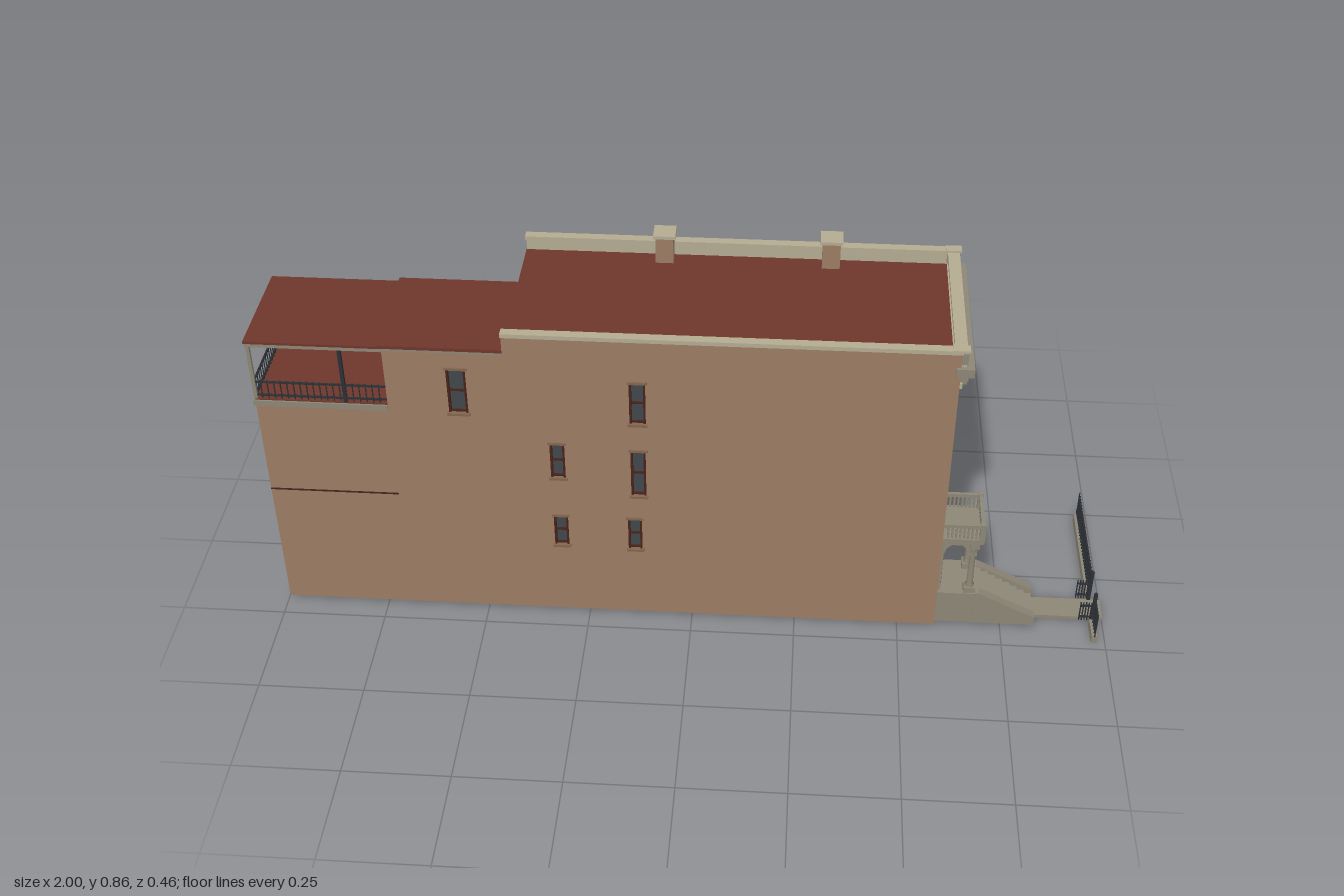
import * as THREE from 'three';

const mat = (name, color) => Object.assign(new THREE.MeshStandardMaterial({ color, side: THREE.DoubleSide }), { name });

export function createModel() {
  const brick = mat('brick', 0x9b7d64), stone = mat('pale stone', 0xb3aa90), grey = mat('grey stone', 0x8d8676),
    red = mat('roof red', 0x6e362b), glass = mat('dark glass', 0x40464c), iron = mat('black iron', 0x2b3036),
    sash = mat('sash brown', 0x48221a), ledge = mat('brown stone', 0x82654e), pale = mat('pale mullion', 0x8f9498);
  const root = new THREE.Group();
  root.name = 'townhouse';
  const group = (name, parent = root) => { const g = new THREE.Group(); g.name = name; parent.add(g); return g; };
  const add = (p, name, geo, m) => { const o = new THREE.Mesh(geo, m); o.name = name; p.add(o); return o; };
  // box given by its two limits on every axis
  const box = (p, name, m, x0, x1, y0, y1, z0, z1) => {
    const o = add(p, name, new THREE.BoxGeometry(x1 - x0, y1 - y0, z1 - z0), m);
    o.position.set((x0 + x1) / 2, (y0 + y1) / 2, (z0 + z1) / 2);
    return o;
  };
  const poly = pts => new THREE.Shape(pts.map(p => new THREE.Vector2(...p)));
  const rect = (a, b, c, d) => poly([[a, c], [b, c], [b, d], [a, d]]);
  // opening outline: rectangle, arch-headed or oval
  const outline = w => {
    const [a, b, c, d] = w.r, mid = (a + b) / 2, rad = (b - a) / 2;
    if (w.oval) return new THREE.Shape().absellipse(mid, (c + d) / 2, rad, (d - c) / 2, 0, Math.PI * 2);
    if (!w.arch) return rect(a, b, c, d);
    return new THREE.Shape().moveTo(a, c).lineTo(b, c).lineTo(b, d - rad).absarc(mid, d - rad, rad, 0, Math.PI);
  };
  // window filling: glass, sash bars, sill and lintel, in the wall's own (along, up, outward) frame
  const windowUnit = (p, w) => {
    const g = group(w.name || 'window', p), [a, b, c, d] = w.r, t = Math.min(0.005, (b - a) * 0.2), mid = (c + d) / 2;
    const pane = add(g, 'glass', new THREE.ShapeGeometry(outline(w), 16), w.fill || glass);
    pane.position.z = w.oval ? 0.002 : -0.008;
    if (w.oval) return;
    if (w.arch && w.fill) return;
    box(g, 'jamb', sash, a, a + t, c, d, -0.01, 0.001);
    box(g, 'jamb', sash, b - t, b, c, d, -0.01, 0.001);
    box(g, 'meetingRail', sash, a, b, mid - 0.002, mid + 0.002, -0.01, -0.003);
    box(g, 'bottomRail', sash, a, b, c, c + 0.004, -0.01, -0.003);
    if (w.mullion) box(g, 'mullion', pale, (a + b) / 2 - 0.001, (a + b) / 2 + 0.001, c, d, -0.008, -0.004);
    const trim = w.trim || ledge;
    box(g, 'sill', trim, a - 0.004, b + 0.004, c - 0.006, c, -0.005, 0.007);
    if (!w.arch) box(g, 'lintel', trim, a - 0.004, b + 0.004, d, d + 0.006, -0.005, 0.004);
  };
  // wall plane with real openings, turned to face its side
  const wall = (name, m, pos, turn, limits, wins = []) => {
    const g = group(name), s = rect(...limits);
    g.position.set(...pos);
    g.rotation.y = turn;
    wins.forEach(w => { if (!w.oval) s.holes.push(outline(w)); windowUnit(g, w); });
    add(g, name + 'Face', new THREE.ShapeGeometry(s, 16), m);
    return g;
  };
  const Q = Math.PI / 2, base = 0.012;

  // left side wall, in three lengths
  wall('leftMainWall', brick, [0, 0, 0.2], 0, [-0.42, 0.59, base, 0.812], [
    { r: [-0.14, -0.103, 0.59, 0.7] }, { r: [-0.14, -0.105, 0.38, 0.508] }, { r: [-0.15, -0.117, 0.216, 0.305] },
    { r: [-0.326, -0.292, 0.425, 0.52] }, { r: [-0.326, -0.292, 0.22, 0.305] }]);
  wall('leftMiddleWall', brick, [0, 0, 0.2], 0, [-0.69, -0.42, base, 0.77], [{ r: [-0.55, -0.506, 0.602, 0.72] }]);
  wall('leftRearWall', brick, [0, 0, 0.2], 0, [-0.995, -0.69, base, 0.6]);
  box(root, 'bandLine', sash, -0.995, -0.69, 0.352, 0.356, 0.199, 0.2015);
  // right side walls
  wall('rightMainWall', brick, [0, 0, -0.227], Math.PI, [-0.59, 0.42, base, 0.812]);
  wall('rightMiddleWall', brick, [0, 0, -0.07], Math.PI, [0.42, 0.69, base, 0.77]);
  wall('rightRearWall', brick, [0, 0, -0.06], Math.PI, [0.69, 0.995, base, 0.6]);
  // back walls
  wall('backStepWall', brick, [-0.42, 0, 0], -Q, [-0.227, -0.07, base, 0.785],
    [[0.585, 0.715], [0.37, 0.5], [0.16, 0.3]].map(([c, d]) => ({ r: [-0.15, -0.1, c, d] })));
  wall('deckWall', brick, [-0.69, 0, 0], -Q, [-0.07, 0.2, 0.6, 0.77], [{ r: [0.04, 0.09, 0.615, 0.73], name: 'deckDoor' }]);
  wall('rearWall', brick, [-0.995, 0, 0], -Q, [-0.06, 0.2, base, 0.6],
    [0, 0.125].flatMap(z => [[0.4, 0.54], [0.13, 0.265]].map(([c, d]) => ({ r: [z - 0.024, z + 0.024, c, d], arch: true }))));

  // front facade: basement, brick floor and stone floors; along = -z
  const L = -0.2, R = 0.227, F = 0.59;
  wall('basementWall', grey, [F, 0, 0], Q, [L, R, base, 0.1], [
    { r: [-0.007, 0.048, 0.036, 0.085], trim: stone, mullion: true }, { r: [0.095, 0.15, 0.036, 0.085], trim: stone, mullion: true }]);
  wall('groundFloorWall', brick, [F, 0, 0], Q, [L, R, 0.1, 0.33], [
    { r: [-0.034, 0.05, 0.152, 0.258], mullion: true, trim: brick }, { r: [0.09, 0.15, 0.152, 0.262], mullion: true, trim: brick }]);
  const stoneWins = [[0.552, 0.645, 0.635], [0.358, 0.465, 0.465]].flatMap(([c, d, e]) => [
    { r: [-0.024, 0.04, c, d], mullion: true, trim: stone },
    { r: [-0.078, -0.055, c, e], mullion: true, trim: stone }, { r: [0.066, 0.089, c, e], mullion: true, trim: stone }]);
  const upper = wall('upperStoneWall', stone, [F, 0, 0], Q, [L, R, 0.33, 0.79], [...stoneWins,
    { r: [-0.017, 0.031, 0.678, 0.708], arch: true, fill: brick, name: 'archPanel' },
    ...[-0.152, 0.166].map(u => ({ r: [u - 0.013, u + 0.013, 0.39, 0.442], oval: true, name: 'ovalWindow' }))]);
  const ring = add(upper, 'archTrim', new THREE.TorusGeometry(0.025, 0.004, 6, 20, Math.PI), grey);
  ring.position.set(0.007, 0.684, 0.001);
  box(upper, 'archSill', grey, -0.022, 0.036, 0.673, 0.679, -0.005, 0.008);
  box(upper, 'windowCornice', stone, -0.1, 0.112, 0.66, 0.667, 0, 0.016);
  box(upper, 'windowFrieze', stone, -0.094, 0.106, 0.648, 0.66, 0, 0.006);
  for (const u of [-0.09, 0.102]) box(upper, 'corniceBracket', stone, u - 0.004, u + 0.004, 0.64, 0.66, 0, 0.01);
  for (const u of [-0.047, -0.035, 0.05, 0.058]) for (const y of [0.358, 0.552])
    box(upper, 'windowPilaster', stone, u - 0.003, u + 0.003, y, y + 0.09, 0, 0.005);

  // main cornice with dentils, then balustrade
  const top = group('cornice', upper);
  box(top, 'architrave', stone, L, R, 0.722, 0.735, 0, 0.006);
  box(top, 'bedMould', grey, L, R, 0.741, 0.756, 0, 0.018);
  box(top, 'crown', grey, L - 0.007, R, 0.756, 0.778, -0.01, 0.03);
  for (let i = 0; i < 13; i++) box(top, 'dentil', grey, L + 0.006 + i * 0.034, L + 0.016 + i * 0.034, 0.73, 0.742, 0, 0.016);
  const bal = group('roofBalustrade', upper);
  box(bal, 'plinth', stone, L, R, 0.778, 0.787, -0.016, 0.012);
  box(bal, 'topRail', stone, L, R, 0.808, 0.819, -0.016, 0.012);
  for (const u of [L, R - 0.02]) {
    box(bal, 'pier', grey, u, u + 0.02, 0.778, 0.818, -0.017, 0.014);
    box(bal, 'pierCap', stone, u - 0.002, u + 0.022, 0.818, 0.824, -0.02, 0.017);
  }
  const balusterGeo = new THREE.CylinderGeometry(0.0022, 0.0032, 0.022, 6);
  for (let i = 0; i < 34; i++) add(bal, 'baluster', balusterGeo, stone).position.set(L + 0.026 + i * 0.0113, 0.7975, -0.002);

  // roofs, parapets and chimneys
  box(root, 'mainRoof', red, -0.42, 0.58, 0.78, 0.786, -0.225, 0.198);
  for (const [a, b] of [[0.181, 0.199], [-0.226, -0.208]]) {
    box(root, 'parapet', stone, -0.419, 0.575, 0.786, 0.812, a, b);
    box(root, 'parapetCap', stone, -0.422, 0.592, 0.812, 0.822, a - 0.002, b + 0.002);
  }
  box(root, 'middleRoof', red, -0.7, -0.42, 0.772, 0.78, -0.074, 0.203);
  box(root, 'middleRoofEdge', grey, -0.7, -0.42, 0.766, 0.772, -0.073, 0.202);
  for (const x of [-0.088, 0.302]) {
    box(root, 'chimney', brick, x - 0.021, x + 0.021, 0.78, 0.854, -0.209, -0.168);
    box(root, 'chimneyCap', stone, x - 0.026, x + 0.026, 0.853, 0.861, -0.214, -0.163);
  }

  // rear roof deck with posts, rails and cover
  const deck = group('rearDeck');
  box(deck, 'deckEdge', grey, -1, -0.69, 0.6, 0.614, -0.064, 0.203);
  box(deck, 'deckFloor', red, -0.995, -0.69, 0.614, 0.617, -0.06, 0.199);
  box(deck, 'coverBeam', grey, -0.998, -0.69, 0.762, 0.771, -0.063, 0.202);
  box(deck, 'coverRoof', red, -1, -0.69, 0.771, 0.777, -0.065, 0.203);
  for (const z of [-0.055, 0.195]) {
    for (const x of [-0.993, -0.787]) box(deck, 'post', x < -0.9 ? grey : iron, x - 0.004, x + 0.004, 0.614, 0.763, z - 0.004, z + 0.004);
    for (const y of [0.624, 0.66]) box(deck, 'sideRail', iron, -0.993, -0.69, y, y + 0.004, z - 0.002, z + 0.002);
    for (let i = 1; i < 20; i++) box(deck, 'sidePicket', iron, -0.994 + i * 0.015, -0.9915 + i * 0.015, 0.617, 0.667, z - 0.001, z + 0.001);
  }
  for (const y of [0.624, 0.66]) box(deck, 'endRail', iron, -0.995, -0.991, y, y + 0.004, -0.055, 0.195);
  for (let i = 1; i < 17; i++) box(deck, 'endPicket', iron, -0.994, -0.992, 0.617, 0.667, -0.056 + i * 0.0147, -0.0535 + i * 0.0147);

  // entrance door in its frame
  const door = group('entrance');
  box(door, 'doorLeaf', brick, F, 0.595, 0.1, 0.203, 0.097, 0.156);
  box(door, 'transomGlass', glass, F, 0.595, 0.205, 0.219, 0.097, 0.156);
  box(door, 'doorHead', stone, F, 0.599, 0.225, 0.242, 0.094, 0.16);
  box(door, 'transomBar', sash, F, 0.598, 0.202, 0.206, 0.097, 0.156);
  for (const z of [0.095, 0.158]) box(door, 'doorJamb', sash, F, 0.6, 0.1, 0.222, z - 0.002, z + 0.002);

  // porch: floor, columns, arched sides, balcony
  const porch = group('porch'), xs = 0.687;
  box(porch, 'floor', grey, F, 0.69, 0.012, 0.104, 0.066, 0.187);
  const columnGeo = new THREE.LatheGeometry([[0, 0], [0.011, 0], [0.011, 0.02], [0.008, 0.024], [0.0065, 0.12], [0.01, 0.13], [0.01, 0.145], [0, 0.145]]
    .map(p => new THREE.Vector2(...p)), 14);
  const archSide = poly([[F, 0.104], [0.598, 0.104], [0.598, 0.215], [0.603, 0.235], [0.615, 0.247], [0.64, 0.247], [0.652, 0.235], [0.657, 0.215],
    [0.676, 0.215], [0.676, 0.268], [F, 0.268]]);
  for (const z of [0.084, 0.17]) {
    add(porch, 'column', columnGeo, grey).position.set(0.667, 0.104, z);
    box(porch, 'columnPlinth', grey, 0.653, 0.681, 0.104, 0.12, z - 0.014, z + 0.014);
    const s = add(porch, 'archedSide', new THREE.ExtrudeGeometry(archSide, { depth: 0.012, bevelEnabled: false }), grey);
    s.position.z = z - 0.006;
  }
  box(porch, 'frontBeam', grey, 0.658, 0.68, 0.243, 0.268, 0.07, 0.184);
  box(porch, 'balconyFloor', grey, F, xs, 0.264, 0.277, 0.064, 0.19);
  const rail = (n, y0, y1) => {
    for (const z of [0.066, 0.18]) box(porch, n, grey, F, xs, y0, y1, z, z + 0.008);
    box(porch, n, grey, xs - 0.009, xs, y0, y1, 0.066, 0.188);
  };
  rail('balconyHandrail', 0.31, 0.319);
  for (const z of [0.064, 0.179]) box(porch, 'balconyPier', grey, 0.676, 0.689, 0.27, 0.322, z, z + 0.011);
  for (let i = 0; i < 12; i++) box(porch, 'baluster', grey, 0.681, 0.685, 0.276, 0.311, 0.079 + i * 0.0083, 0.0835 + i * 0.0083);
  for (const z of [0.068, 0.182]) for (let i = 0; i < 8; i++)
    box(porch, 'sideBaluster', grey, 0.6 + i * 0.0095, 0.6045 + i * 0.0095, 0.276, 0.311, z, z + 0.004);

  // front steps between sloping cheek walls, and the path
  const steps = group('frontSteps');
  for (let i = 0; i < 8; i++) box(steps, 'step', grey, 0.68, 0.83 - i * 0.0185, 0.012 + i * 0.011, 0.023 + i * 0.011, 0.085, 0.167);
  const cheek = poly([[0.68, 0.012], [0.83, 0.012], [0.83, 0.036], [0.69, 0.107], [0.68, 0.107]]);
  for (const z of [0.064, 0.166])
    add(steps, 'cheekWall', new THREE.ExtrudeGeometry(cheek, { depth: 0.022, bevelEnabled: false }), grey).position.z = z;
  box(steps, 'path', grey, 0.83, 1, 0.003, 0.013, 0.088, 0.152);

  // street fence on a kerb, with open gate leaves
  const fence = group('streetFence');
  for (const [a, b] of [[-0.227, 0.082], [0.168, 0.228]]) {
    box(fence, 'kerb', grey, 0.966, 0.98, 0, 0.022, a, b);
    for (const y of [0.032, 0.08]) box(fence, 'fenceRail', iron, 0.971, 0.975, y, y + 0.004, a, b);
    const n = Math.round((b - a) / 0.0125);
    for (let i = 0; i <= n; i++) {
      const z = a + (b - a) * i / n;
      box(fence, 'picket', iron, 0.972, 0.9745, 0.02, 0.093, z - 0.0012, z + 0.0012);
    }
  }
  for (const z of [0.086, 0.165]) {
    box(fence, 'gatePost', iron, 0.969, 0.977, 0, 0.098, z - 0.004, z + 0.004);
    add(fence, 'postBall', new THREE.SphereGeometry(0.005, 8, 6), iron).position.set(0.973, 0.1, z);
    for (const y of [0.025, 0.06]) box(fence, 'gateRail', iron, 0.94, 0.97, y, y + 0.004, z - 0.002, z + 0.002);
    for (let i = 0; i < 5; i++) box(fence, 'gatePicket', iron, 0.94 + i * 0.0065, 0.9425 + i * 0.0065, 0.016, 0.072, z - 0.002, z + 0.002);
  }
  return root;
}
